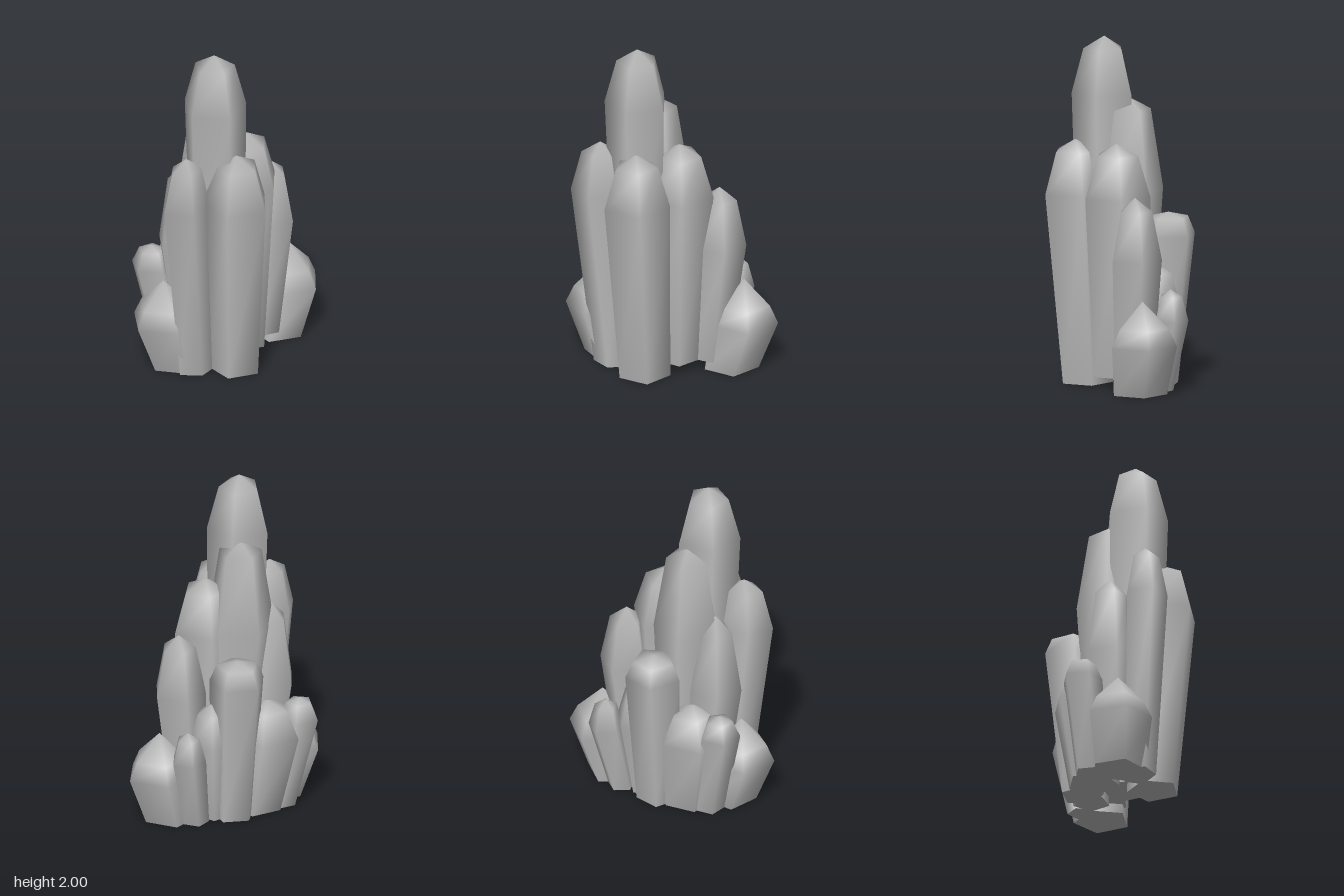
import * as THREE from 'three';

const stone = new THREE.MeshStandardMaterial({ color: 0xb8b8b8 });
stone.name = 'grey crystal';

const SIDES = 5;

// One five-sided crystal that narrows and leans in towards the middle of the
// cluster at its foot, and closes over a shoulder ring to a blunt apex.
// turn: degrees of the first corner, seen from above
function crystal(name, x, z, radius, turn, [bottom, widest, apex], options = {}) {
  const { foot = 0.77, shoulderWidth = 0.64, shoulderHeight = 0.78, width = 1 } = options;
  const position = [];
  const index = [];

  function addRing(cx, y, cz, r) {
    for (let i = 0; i < SIDES; i++) {
      const a = THREE.MathUtils.degToRad(turn) - (i / SIDES) * Math.PI * 2;
      position.push(cx + Math.cos(a) * r * width, y, cz + Math.sin(a) * r);
    }
  }

  addRing(x * foot, bottom, z * foot, radius * foot);
  addRing(x, widest, z, radius);
  addRing(x, THREE.MathUtils.lerp(widest, apex, shoulderHeight), z, radius * shoulderWidth);
  const tip = SIDES * 3;
  position.push(x, apex, z);

  // own corners for the underside keep the foot edge sharp
  const under = tip + 1;
  addRing(x * foot, bottom, z * foot, radius * foot);
  position.push(x * foot, bottom, z * foot);

  for (let i = 0; i < SIDES; i++) {
    const j = (i + 1) % SIDES;
    for (let k = 0; k < 2; k++) {
      const a = k * SIDES + i;
      const b = k * SIDES + j;
      index.push(a, b, b + SIDES, a, b + SIDES, a + SIDES);
    }
    index.push(2 * SIDES + i, 2 * SIDES + j, tip);
    index.push(under + j, under + i, under + SIDES);
  }

  const geometry = new THREE.BufferGeometry();
  geometry.setAttribute('position', new THREE.Float32BufferAttribute(position, 3));
  geometry.setIndex(index);
  geometry.computeVertexNormals();
  const mesh = new THREE.Mesh(geometry, stone);
  mesh.name = name;
  return mesh;
}

export function createModel() {
  const group = new THREE.Group();
  group.name = 'crystalCluster';
  const add = (...spec) => group.add(crystal(...spec));

  // tall crystals
  add('tallestCrystal', 0.054, 0.186, 0.187, 13, [0.58, 1.67, 2], { foot: 0.88 });
  add('secondTallCrystal', -0.07, 0.1, 0.2, 40, [0.3, 1.12, 1.65], { shoulderHeight: 0.87 });
  add('backTallCrystal', 0.052, -0.06, 0.2, 61, [0.06, 1.1, 1.41]);
  add('sideTallCrystal', 0.23, 0.17, 0.2, 58, [0, 1.1, 1.41]);
  add('frontTallCrystal', 0.052, 0.4, 0.17, 18, [0, 1.09, 1.4], { width: 0.74 });

  // middle crystals
  add('frontMiddleCrystal', -0.122, 0.272, 0.155, 18, [0.05, 0.75, 1.24]);
  add('backMiddleCrystal', 0.005, -0.285, 0.155, 54, [0.06, 0.77, 1.13]);
  add('outerMiddleCrystal', -0.26, -0.06, 0.165, 28, [0, 0.87, 1], { shoulderWidth: 0.74 });
  add('innerBackCrystal', -0.16, -0.17, 0.14, 70, [0, 0.48, 0.72]);

  // short crystals round the foot
  add('smallFrontCrystal', -0.309, 0.344, 0.12, 10, [0, 0.55, 0.675]);
  add('smallBackCrystal', -0.186, -0.36, 0.103, 56, [0, 0.42, 0.6]);
  add('outerStub', -0.24, 0.167, 0.2, 9, [0, 0.47, 0.68]);
  const stub = { foot: 0.82, shoulderWidth: 0.76, shoulderHeight: 0.4 };
  add('frontStub', -0.115, 0.425, 0.195, 18, [0, 0.29, 0.55], stub);
  add('backStub', 0, -0.426, 0.2, 59, [0, 0.29, 0.55], stub);
  return group;
}
